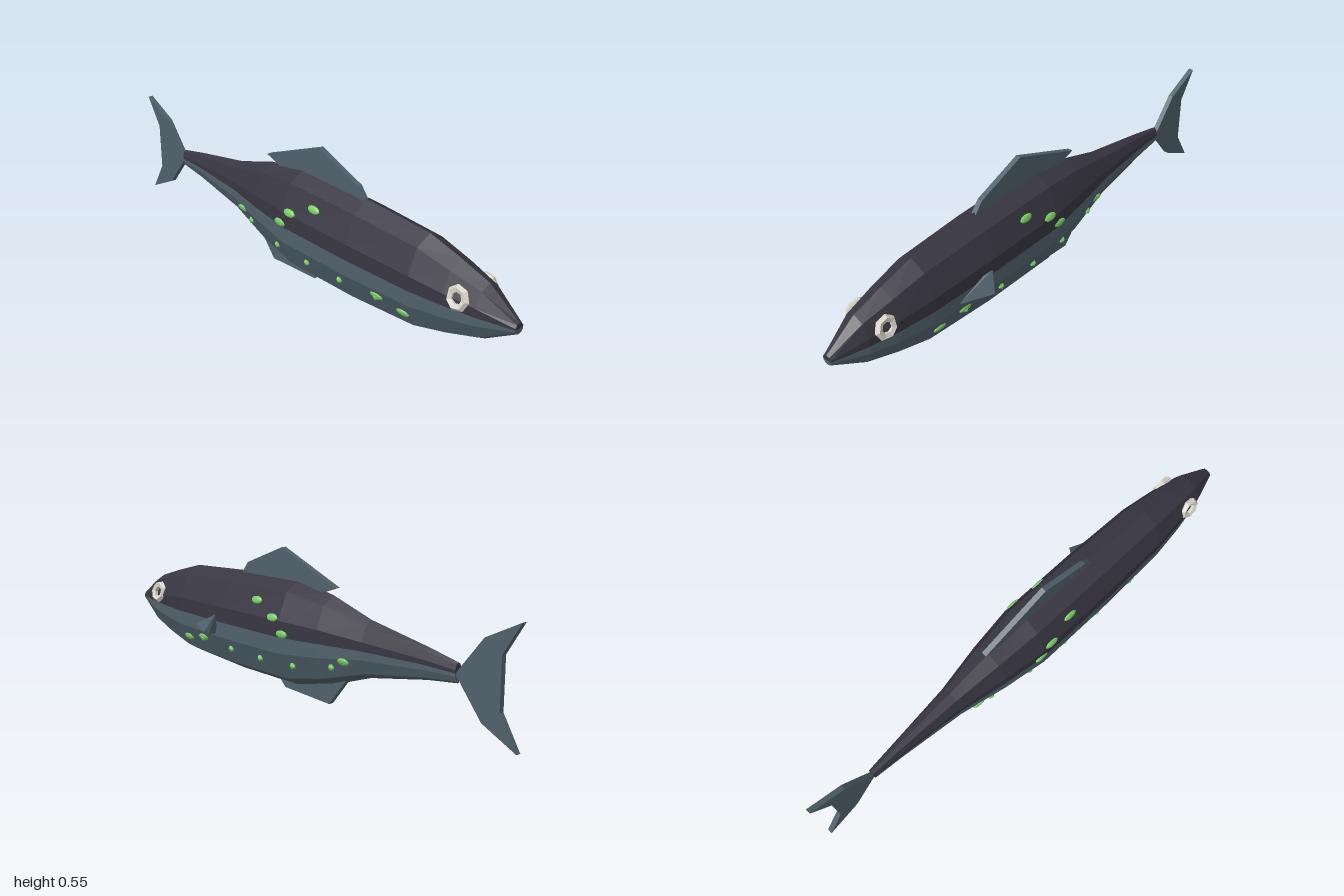
import * as THREE from 'three';
import { ConvexGeometry } from 'three/addons/geometries/ConvexGeometry.js';

const MID_Z = 0.023; // the body's centre plane
// body stations: x, centre y, half height, half width
const STATIONS = [
  [-0.755, 0.237, 0.035, 0.016], [-0.63, 0.243, 0.056, 0.027], [-0.37, 0.243, 0.104, 0.053],
  [-0.18, 0.24, 0.166, 0.088], [0, 0.236, 0.202, 0.113], [0.33, 0.235, 0.198, 0.112],
  [0.62, 0.237, 0.18, 0.103], [0.755, 0.238, 0.142, 0.086], [0.875, 0.24, 0.102, 0.064],
  [1, 0.235, 0.02, 0.02],
];
// half of a ten-sided section, from the +z side over the top to the -z side
const ARC = [[0.951, 0], [0.951, 0.309], [0.588, 0.809], [0, 1], [-0.588, 0.809], [-0.951, 0.309], [-0.951, 0]];

function material(name, color) {
  const m = new THREE.MeshStandardMaterial({ color, flatShading: true });
  m.name = name;
  return m;
}

// One half of the body skin: side 1 is the back, side -1 the belly
function halfBody(side) {
  const rings = STATIONS.map(([x, cy, h, w]) =>
    ARC.map(([z, y]) => [x, cy + side * y * h, MID_Z + side * z * w]));
  const pos = [];
  const tri = (a, b, c) => pos.push(...a, ...b, ...c);
  for (let i = 0; i < rings.length - 1; i++) {
    for (let j = 0; j < ARC.length - 1; j++) {
      const a = rings[i][j], b = rings[i + 1][j], c = rings[i + 1][j + 1], d = rings[i][j + 1];
      tri(a, b, c);
      tri(a, c, d);
    }
  }
  // flat ends at tail and nose
  const tail = rings[0], nose = rings[rings.length - 1];
  for (let j = 1; j < ARC.length - 1; j++) {
    tri(tail[0], tail[j], tail[j + 1]);
    tri(nose[0], nose[j + 1], nose[j]);
  }
  const g = new THREE.BufferGeometry();
  g.setAttribute('position', new THREE.Float32BufferAttribute(pos, 3));
  g.computeVertexNormals();
  return g;
}

// Half width and outward tilt of the skin at a given x and y
function skinAt(x, y) {
  let i = 0;
  while (i < STATIONS.length - 2 && x > STATIONS[i + 1][0]) i++;
  const t = (x - STATIONS[i][0]) / (STATIONS[i + 1][0] - STATIONS[i][0]);
  const [, cy, h, w] = STATIONS[i].map((v, k) => THREE.MathUtils.lerp(v, STATIONS[i + 1][k], t));
  const u = Math.min(Math.abs(y - cy) / h, 1);
  const k = u < 0.309 ? 0 : u < 0.809 ? 1 : 2;
  const [z0, y0] = ARC[k], [z1, y1] = ARC[k + 1];
  return {
    z: w * (z0 + (z1 - z0) * (u - y0) / (y1 - y0)),
    tilt: Math.atan2((z0 - z1) * w, (y1 - y0) * h) * Math.sign(y - cy),
  };
}

// Flat fin cut from an outline in the centre plane
function finGeometry(points) {
  const shape = new THREE.Shape(points.map(([x, y]) => new THREE.Vector2(x, y)));
  return new THREE.ExtrudeGeometry(shape, { depth: 0.02, bevelEnabled: false }).translate(0, 0, MID_Z - 0.01);
}

export function createModel() {
  const fish = new THREE.Group();
  fish.name = 'fish';
  const back = material('dark back', 0x383641);
  const slate = material('slate', 0x50616b);
  const ivory = material('ivory', 0xd8d4c8);
  const green = material('glowing green', 0x76cc64);
  const add = (name, geometry, mat) => {
    const mesh = new THREE.Mesh(geometry, mat);
    mesh.name = name;
    fish.add(mesh);
    return mesh;
  };

  // Body
  add('upperBody', halfBody(1), back);
  add('lowerBody', halfBody(-1), slate);

  // Fins in the centre plane
  add('dorsalFin', finGeometry([[-0.2, 0.435], [0.09, 0.55], [0.29, 0.47], [0.33, 0.42], [0.05, 0.39], [-0.1, 0.4]]), slate);
  add('bellyFin', finGeometry([[-0.26, 0.11], [-0.17, 0], [0.07, 0.013], [0.11, 0.05], [-0.1, 0.09]]), slate);
  add('tailFin', finGeometry([[-1, 0.444], [-0.93, 0.33], [-0.93, 0.144], [-1, 0.027],
    [-0.861, 0.096], [-0.75, 0.235], [-0.861, 0.374]]), slate);

  // Single side fin, pointing backwards
  const sideFin = [[0.51, 0.2, -0.08], [0.36, 0.267, -0.095], [0.39, 0.197, -0.132],
    [0.38, 0.187, -0.115], [0.38, 0.185, -0.075], [0.41, 0.245, -0.075]];
  add('sideFin', new ConvexGeometry(sideFin.map((p) => new THREE.Vector3(...p))), slate);

  // Eyes and light spots, on both sides
  const smallSpots = [[-0.235, 0.162], [-0.055, 0.135], [0.12, 0.133], [0.294, 0.137], [0.475, 0.148]];
  const ovalSpots = [[-0.015, 0.25], [0.037, 0.305], [0.147, 0.352], [-0.29, 0.192], [0.475, 0.152], [0.588, 0.133]];
  for (const s of [1, -1]) {
    const sideName = s > 0 ? 'front' : 'rear';
    const eye = add(sideName + 'EyeRing', new THREE.TorusGeometry(0.032, 0.014, 5, 7), ivory);
    eye.position.set(0.81, 0.286, MID_Z + s * 0.071);
    eye.rotation.x = -s * 0.25;

    const place = (name, geometry, [x, y]) => {
      const { z, tilt } = skinAt(x, y);
      const spot = add(name, geometry, green);
      spot.position.set(x, y, MID_Z + s * z);
      spot.rotation.x = -s * tilt;
    };
    const small = new THREE.IcosahedronGeometry(0.014, 0);
    const oval = new THREE.IcosahedronGeometry(1, 1).scale(0.03, 0.015, 0.008);
    smallSpots.forEach((p, i) => place(`${sideName}SmallSpot${i + 1}`, small, p));
    ovalSpots.forEach((p, i) => place(`${sideName}OvalSpot${i + 1}`, oval, p));
  }
  return fish;
}
